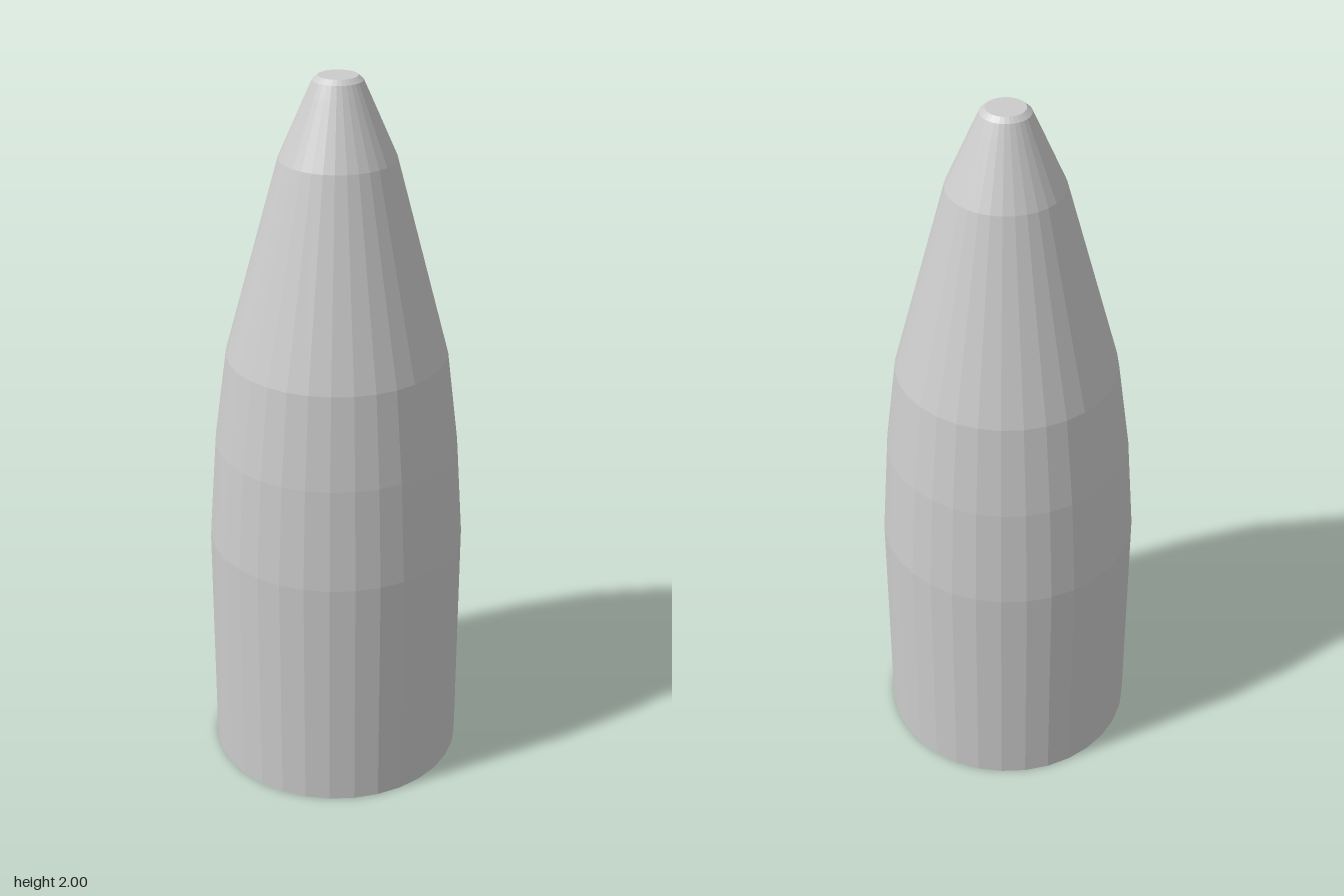
import * as THREE from 'three';

const SIDES = 32;
const material = new THREE.MeshStandardMaterial({ color: 0xcccccc, flatShading: true });

// Each ring: radius, height, sideways drift of its centre
const casing = [[0, 0, 0], [0.358, 0, 0], [0.358, 0.69, 0]];
const shoulder = [[0.358, 0.69, 0], [0.337, 0.98, 0.001], [0.303, 1.24, 0.003]];
const nose = [[0.303, 1.24, 0.003], [0.156, 1.785, 0.006], [0.081, 1.955, 0.006]];
const tip = [[0.081, 1.955, 0.006], [0.066, 1.988, 0.006], [0.052, 2, 0.006], [0, 2, 0.006]];

// Faceted turned section whose rings may sit slightly off axis
function turned(name, rings) {
  const profile = rings.map(([r, y]) => new THREE.Vector2(r, y));
  const geometry = new THREE.LatheGeometry(profile, SIDES);
  const pos = geometry.attributes.position;
  for (let i = 0; i < pos.count; i++) {
    pos.setX(i, pos.getX(i) + rings[i % rings.length][2]);
  }
  const faceted = geometry.toNonIndexed();
  faceted.computeVertexNormals();
  const mesh = new THREE.Mesh(faceted, material);
  mesh.name = name;
  return mesh;
}

export function createModel() {
  const model = new THREE.Group();
  model.name = 'projectile';
  model.add(
    turned('casing', casing),
    turned('shoulder', shoulder),
    turned('nose', nose),
    turned('tip', tip)
  );
  return model;
}
